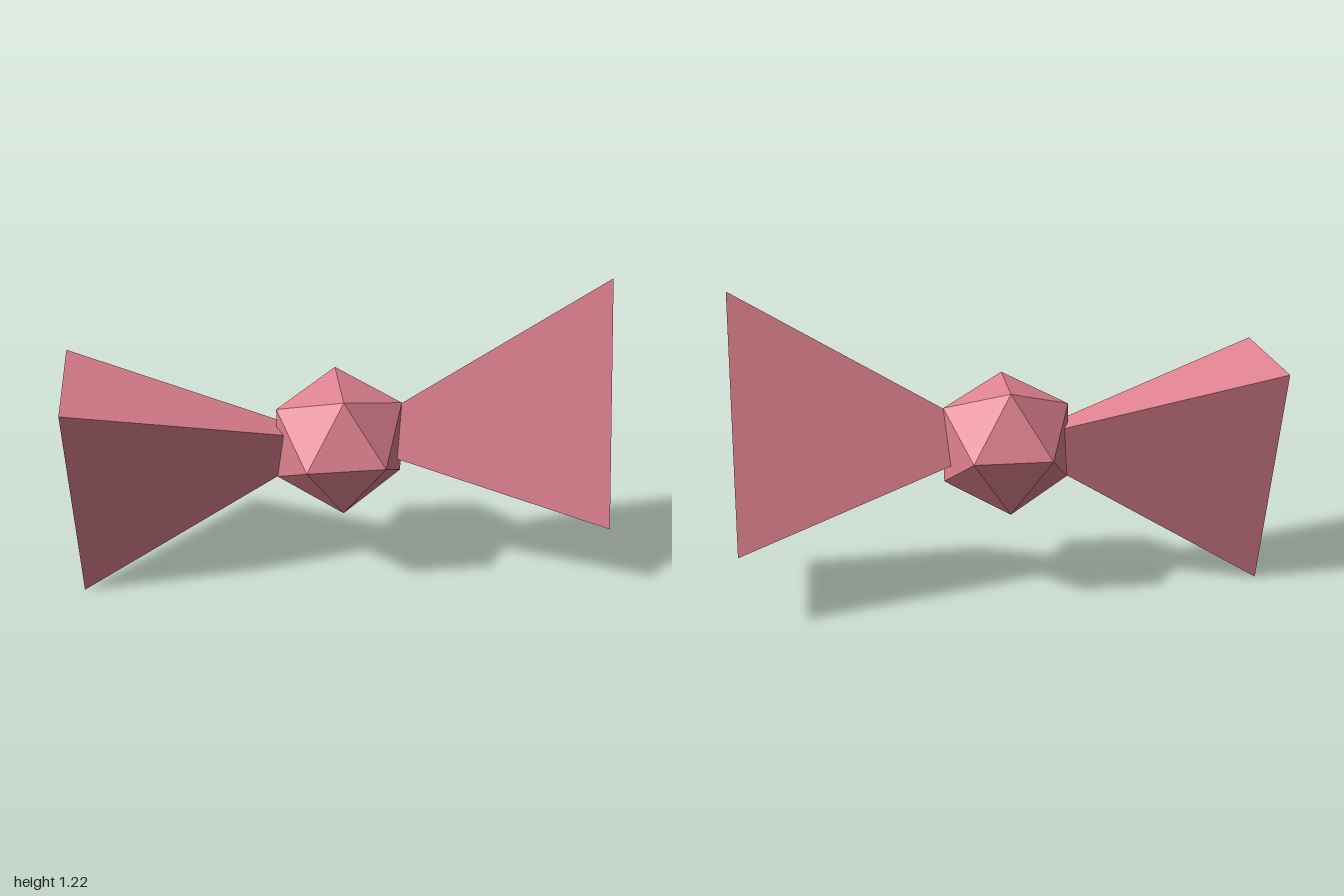
import * as THREE from 'three';

export function createModel() {
  const model = new THREE.Group();
  model.name = 'bowTie';
  const pink = new THREE.MeshStandardMaterial({ color: 0xe08290, flatShading: true });
  pink.name = 'rosePink';
  const centreY = 0.61;

  // Faceted knot, turned so a horizontal edge faces the front
  const knotGeometry = new THREE.IcosahedronGeometry(0.276, 0);
  knotGeometry.rotateX(Math.PI / 2);
  const knot = new THREE.Mesh(knotGeometry, pink);
  knot.name = 'knot';
  knot.position.y = centreY;
  model.add(knot);

  // Three-sided pyramid: tip at the knot's centre, flat end at x = 1, one corner up
  const wingGeometry = new THREE.ConeGeometry(0.61, 1, 3, 1, false, Math.PI / 2);
  wingGeometry.rotateZ(Math.PI / 2);
  wingGeometry.translate(0.5, 0, 0);
  wingGeometry.scale(1, 1, 0.497);

  // The right wing is the left wing turned half round, corner down
  for (const [name, turn] of [['leftWing', 0], ['rightWing', Math.PI]]) {
    const wing = new THREE.Mesh(wingGeometry, pink);
    wing.name = name;
    wing.position.y = centreY;
    wing.rotation.z = turn;
    model.add(wing);
  }
  return model;
}
